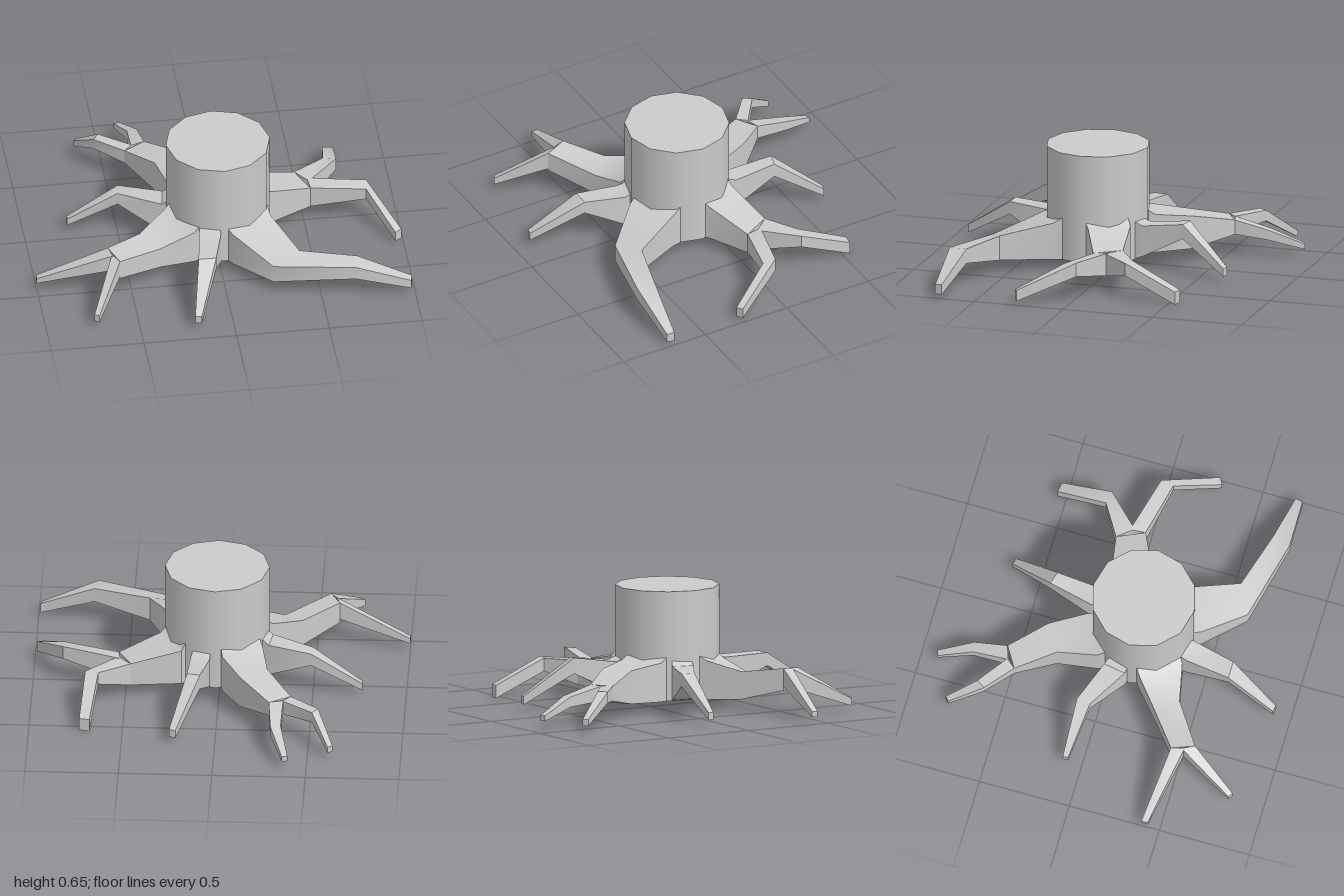
import * as THREE from 'three';
import { toCreasedNormals } from 'three/addons/utils/BufferGeometryUtils.js';

const material = new THREE.MeshStandardMaterial({ color: 0xcccccc });

// Four-sided tapering root swept through sections.
// Section: [ax, az, aTop, bx, bz, bTop, bottom]; a is the clockwise edge seen from above.
function root(name, sections) {
  const pos = [];
  const rings = sections.map(([ax, az, at, bx, bz, bt, bot]) => [
    [ax, at, az], [bx, bt, bz], [bx, bot, bz], [ax, bot, az],
  ]);
  const quad = (p, q, r, s) => pos.push(...p, ...q, ...r, ...p, ...r, ...s);
  for (let i = 0; i < rings.length - 1; i++) {
    const r = rings[i], n = rings[i + 1];
    for (let k = 0; k < 4; k++) quad(r[k], n[k], n[(k + 1) % 4], r[(k + 1) % 4]);
  }
  const first = rings[0], last = rings[rings.length - 1];
  quad(first[0], first[1], first[2], first[3]);
  quad(last[0], last[3], last[2], last[1]);
  const geo = new THREE.BufferGeometry();
  geo.setAttribute('position', new THREE.Float32BufferAttribute(pos, 3));
  const mesh = new THREE.Mesh(toCreasedNormals(geo, 0.6), material);
  mesh.name = name;
  return mesh;
}

export function createModel() {
  const group = new THREE.Group();
  group.name = 'treeStump';

  // Twelve-sided smooth trunk
  const trunk = new THREE.Mesh(new THREE.CylinderGeometry(0.28, 0.28, 0.59, 12), material);
  trunk.name = 'trunk';
  trunk.position.set(0.02, 0.355, 0.12);
  group.add(trunk);

  const roots = {
    // Broad curling root at the front left
    frontLeftRoot: [
      [0.03, 0.38, 0.27, 0.27, 0.24, 0.29, 0.06],
      [0.06, 0.43, 0.25, 0.28, 0.29, 0.26, 0.06],
      [0.25, 0.63, 0.165, 0.4, 0.55, 0.2, 0.065],
      [0.68, 0.74, 0.195, 0.7, 0.64, 0.2, 0.12],
      [0.98, 0.725, 0.07, 0.99, 0.685, 0.075, 0.02],
    ],
    // Forked root on the left
    leftRoot: [
      [0.27, 0.12, 0.3, 0.18, -0.1, 0.3, 0.06],
      [0.32, 0.08, 0.26, 0.2, -0.12, 0.26, 0.06],
      [0.54, -0.02, 0.19, 0.47, -0.165, 0.2, 0.07],
    ],
    leftRootBackBranch: [
      [0.54, -0.08, 0.195, 0.47, -0.165, 0.2, 0.07],
      [0.71, -0.255, 0.2, 0.64, -0.27, 0.2, 0.13],
      [0.73, -0.54, 0.07, 0.675, -0.55, 0.07, 0],
    ],
    leftRootFrontBranch: [
      [0.54, -0.02, 0.19, 0.53, -0.105, 0.197, 0.07],
      [0.83, 0.05, 0.205, 0.84, -0.02, 0.215, 0.14],
      [0.955, 0.285, 0.075, 0.99, 0.265, 0.08, 0.02],
    ],
    // Slim root at the back
    backRoot: [
      [0.14, -0.12, 0.27, 0.05, -0.14, 0.27, 0.06],
      [0.15, -0.17, 0.25, 0.045, -0.18, 0.25, 0.08],
      [0.16, -0.4, 0.28, 0.09, -0.42, 0.285, 0.2],
      [0.245, -0.655, 0.08, 0.21, -0.665, 0.08, 0.035],
    ],
    // Forked root at the back right
    backRightRoot: [
      [-0.01, -0.14, 0.3, -0.21, -0.02, 0.3, 0.06],
      [-0.02, -0.19, 0.27, -0.23, -0.07, 0.27, 0.06],
      [-0.12, -0.37, 0.25, -0.265, -0.28, 0.25, 0.07],
      [-0.285, -0.55, 0.2, -0.4, -0.48, 0.2, 0.12],
    ],
    backRightRootOuterBranch: [
      [-0.355, -0.53, 0.2, -0.4, -0.48, 0.2, 0.12],
      [-0.52, -0.65, 0.2, -0.55, -0.605, 0.2, 0.14],
      [-0.61, -0.8, 0.075, -0.635, -0.78, 0.075, 0.04],
    ],
    backRightRootInnerBranch: [
      [-0.285, -0.55, 0.2, -0.36, -0.525, 0.2, 0.12],
      [-0.3, -0.73, 0.155, -0.355, -0.72, 0.155, 0.1],
      [-0.37, -0.915, 0.075, -0.4, -0.905, 0.075, 0.045],
    ],
    // Slim root on the right
    rightRoot: [
      [-0.22, 0, 0.28, -0.24, 0.11, 0.28, 0.06],
      [-0.26, -0.02, 0.25, -0.28, 0.1, 0.25, 0.07],
      [-0.49, -0.105, 0.25, -0.5, -0.03, 0.25, 0.18],
      [-0.765, -0.105, 0.075, -0.765, -0.075, 0.075, 0.035],
    ],
    // Forked root at the front right
    frontRightRoot: [
      [-0.24, 0.15, 0.3, -0.11, 0.36, 0.28, 0.06],
      [-0.28, 0.18, 0.27, -0.14, 0.38, 0.25, 0.06],
      [-0.43, 0.31, 0.22, -0.33, 0.42, 0.19, 0.07],
      [-0.62, 0.455, 0.25, -0.57, 0.575, 0.24, 0.13],
    ],
    frontRightRootOuterBranch: [
      [-0.62, 0.455, 0.25, -0.6, 0.525, 0.245, 0.15],
      [-1, 0.4, 0.07, -1, 0.435, 0.07, 0.04],
    ],
    frontRightRootInnerBranch: [
      [-0.605, 0.51, 0.245, -0.57, 0.575, 0.24, 0.14],
      [-0.74, 0.81, 0.075, -0.715, 0.825, 0.075, 0.035],
    ],
    // Slim root at the front
    frontRoot: [
      [-0.11, 0.35, 0.27, 0, 0.37, 0.27, 0.06],
      [-0.12, 0.4, 0.25, -0.005, 0.42, 0.25, 0.07],
      [-0.155, 0.64, 0.26, -0.06, 0.64, 0.26, 0.19],
      [-0.21, 0.905, 0.08, -0.175, 0.91, 0.08, 0.035],
    ],
  };
  for (const [name, sections] of Object.entries(roots)) group.add(root(name, sections));
  return group;
}
